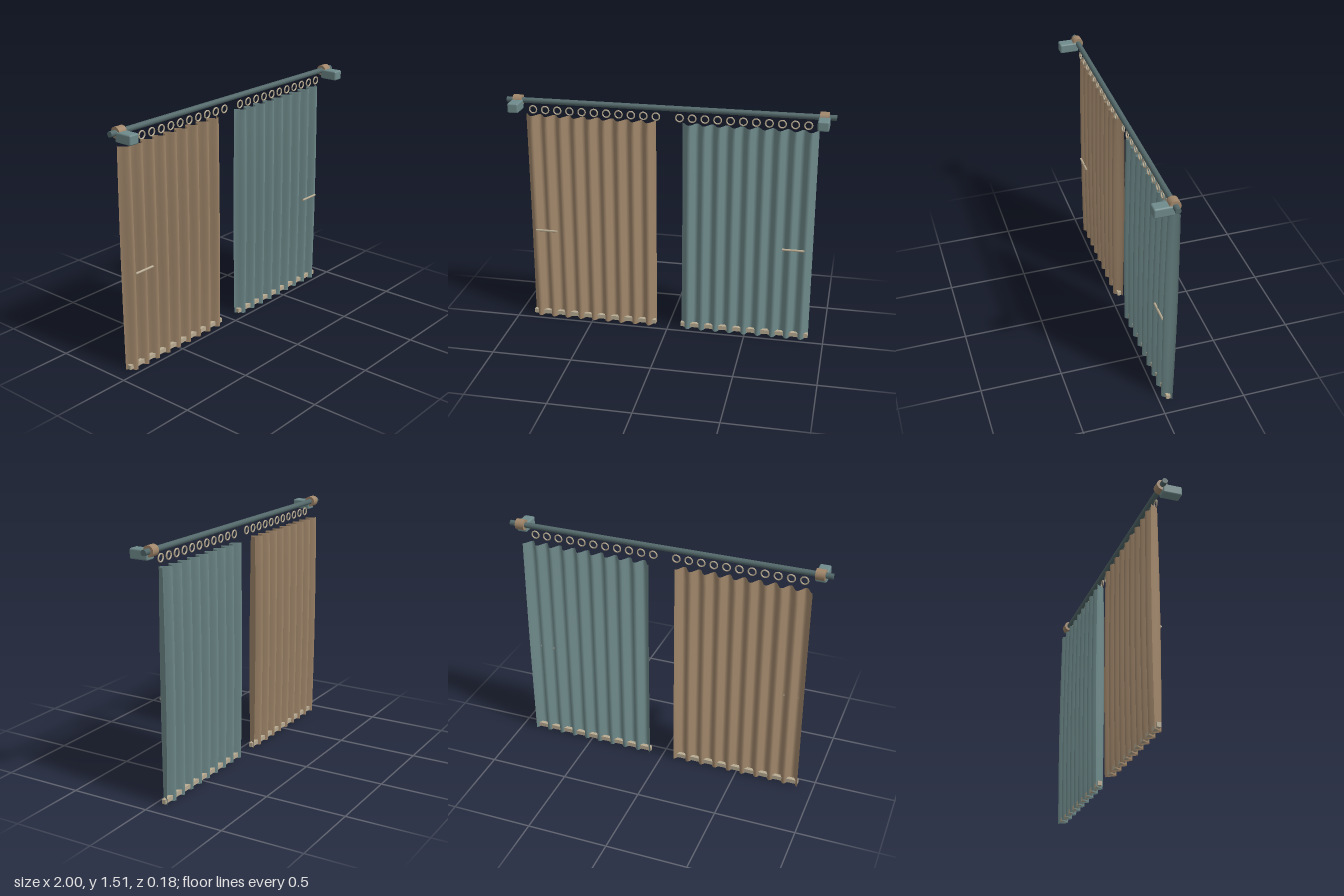
import * as THREE from 'three';
import { RoundedBoxGeometry } from 'three/addons/geometries/RoundedBoxGeometry.js';

const material = (name, color, side = THREE.FrontSide) =>
  new THREE.MeshStandardMaterial({ name, color, side });

const FOLDS = 9, WIDTH = 0.82, HEIGHT = 1.375, DEPTH_Z = -0.053;
const ROD_Y = 1.475, ROD_Z = -0.029;

// Pleated sheet: a wave across the width, swelling slightly at mid height
function pleatedCloth() {
  const g = new THREE.PlaneGeometry(WIDTH, HEIGHT, FOLDS * 8, 16);
  g.translate(0, HEIGHT / 2, 0);
  const p = g.attributes.position;
  for (let i = 0; i < p.count; i++) {
    const u = p.getX(i) / WIDTH + 0.5;
    const t = p.getY(i) / HEIGHT;
    const amplitude = 0.028 + 0.006 * Math.sin(Math.PI * t);
    p.setZ(i, -amplitude * Math.cos(u * FOLDS * Math.PI * 2));
  }
  g.computeVertexNormals();
  return g;
}

export function createModel() {
  const model = new THREE.Group();
  model.name = 'curtainSet';

  const teal = material('teal', 0x6f8a8b, THREE.DoubleSide);
  const tan = material('tan', 0xa0866a, THREE.DoubleSide);
  const pale = material('paleBeige', 0xb8ab92);
  const slate = material('darkSlate', 0x53686a);

  const add = (parent, name, geometry, mat, x, y, z) => {
    const mesh = new THREE.Mesh(geometry, mat);
    mesh.name = name;
    mesh.position.set(x, y, z);
    parent.add(mesh);
    return mesh;
  };

  // Rod along x
  const rod = new THREE.CylinderGeometry(0.017, 0.017, 2, 20).rotateZ(Math.PI / 2);
  add(model, 'rod', rod, slate, 0, ROD_Y, ROD_Z);

  const collar = new THREE.CylinderGeometry(0.033, 0.033, 0.055, 24).rotateZ(Math.PI / 2);
  const bracket = new RoundedBoxGeometry(0.068, 0.06, 0.118, 2, 0.01);
  const ring = new THREE.TorusGeometry(0.0225, 0.0045, 8, 20);
  const cloth = pleatedCloth();
  const hem = new THREE.BoxGeometry(WIDTH, 0.027, 0.024);
  const tie = new THREE.CylinderGeometry(0.007, 0.007, 0.138, 10).rotateZ(Math.PI / 2);

  for (const [side, label, fabric] of [[-1, 'right', tan], [1, 'left', teal]]) {
    const half = new THREE.Group();
    half.name = label + 'Half';
    model.add(half);

    // Wall bracket and collar holding the rod
    add(half, 'bracket', bracket, teal, side * 0.93, 1.453, 0.031);
    add(half, 'collar', collar, tan, side * 0.93, ROD_Y, ROD_Z);

    // Hanging rings
    for (let i = 0; i < 11; i++) {
      add(half, 'ring', ring, pale, side * (0.072 + i * 0.0767), 1.419, -0.027);
    }

    // Curtain panel with the weighted hem bar threaded through its folds
    add(half, 'curtain', cloth, fabric, side * 0.492, 0, DEPTH_Z);
    add(half, 'hemBar', hem, pale, side * 0.492, 0.022, -0.056);

    // Tieback bar on the front
    add(half, 'tieback', tie, pale, side * 0.786, 0.62, -0.017);
  }
  return model;
}
